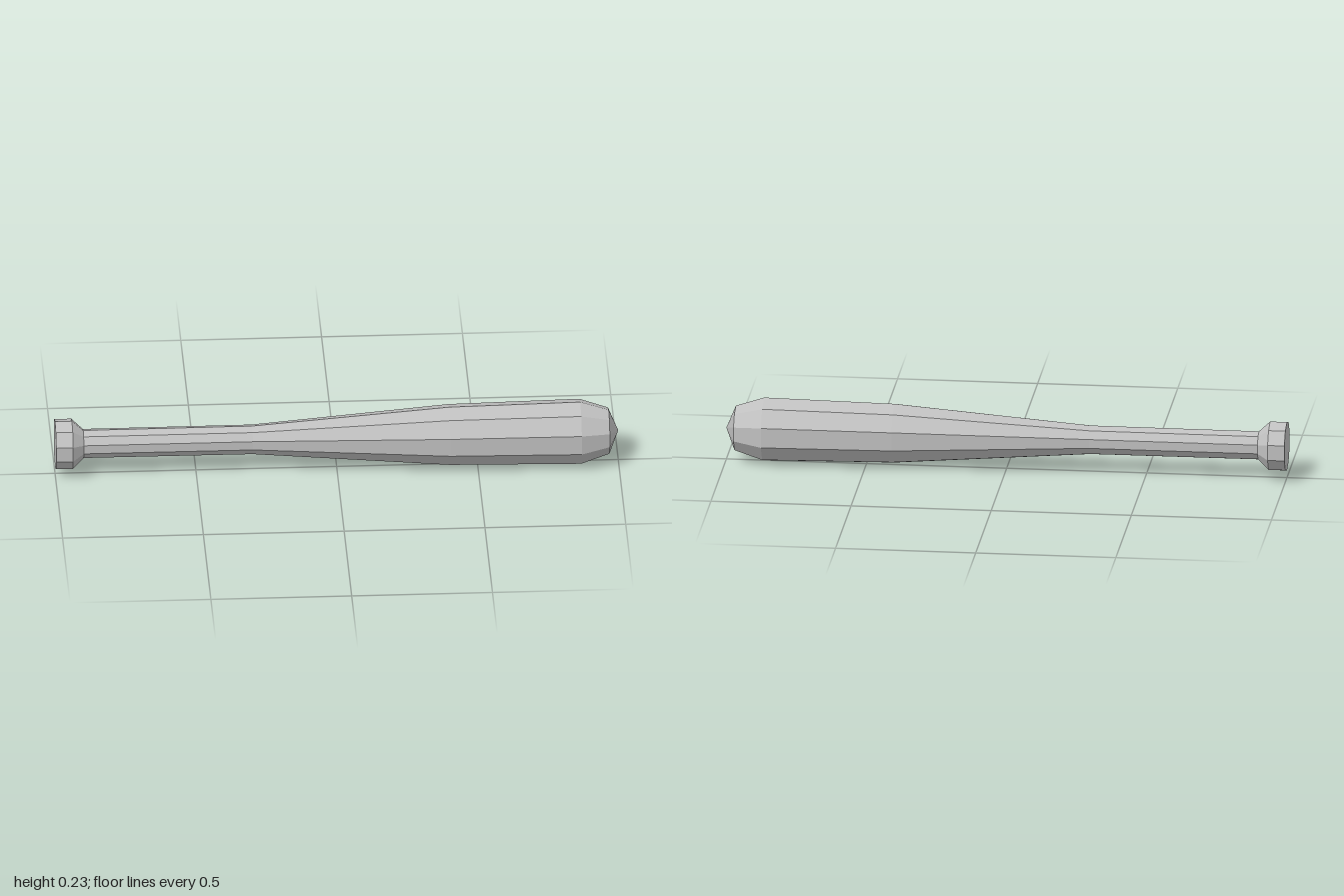
import * as THREE from 'three';

const SIDES = 10;
const AXIS_HEIGHT = 0.1165;

export function createModel() {
  const model = new THREE.Group();
  model.name = 'bat';

  const grey = new THREE.MeshStandardMaterial({ color: 0xc0c0c0, flatShading: true });
  grey.name = 'grey';

  // Faceted turned section along x, from [x, radius] pairs, with a corner at the top
  function addTurned(name, profile) {
    const points = profile.map(([x, r]) => new THREE.Vector2(r, x));
    const geometry = new THREE.LatheGeometry(points, SIDES)
      .rotateX(-Math.PI / 2)
      .rotateY(-Math.PI / 2)
      .toNonIndexed();
    geometry.computeVertexNormals();
    const mesh = new THREE.Mesh(geometry, grey);
    mesh.name = name;
    mesh.position.y = AXIS_HEIGHT;
    model.add(mesh);
  }

  // Flat-ended knob with a chamfer down to the grip
  addTurned('knob', [[-1, 0], [-1, 0.09], [-0.94, 0.09], [-0.9, 0.052]]);

  // Slim grip
  addTurned('handle', [[-0.9, 0.052], [-0.3, 0.053]]);

  // Widening barrel
  addTurned('barrel', [[-0.3, 0.053], [0.4, 0.109], [0.865, 0.1165]]);

  // Bevelled, shallow pointed end
  addTurned('tip', [[0.865, 0.1165], [0.966, 0.083], [1, 0]]);

  return model;
}
